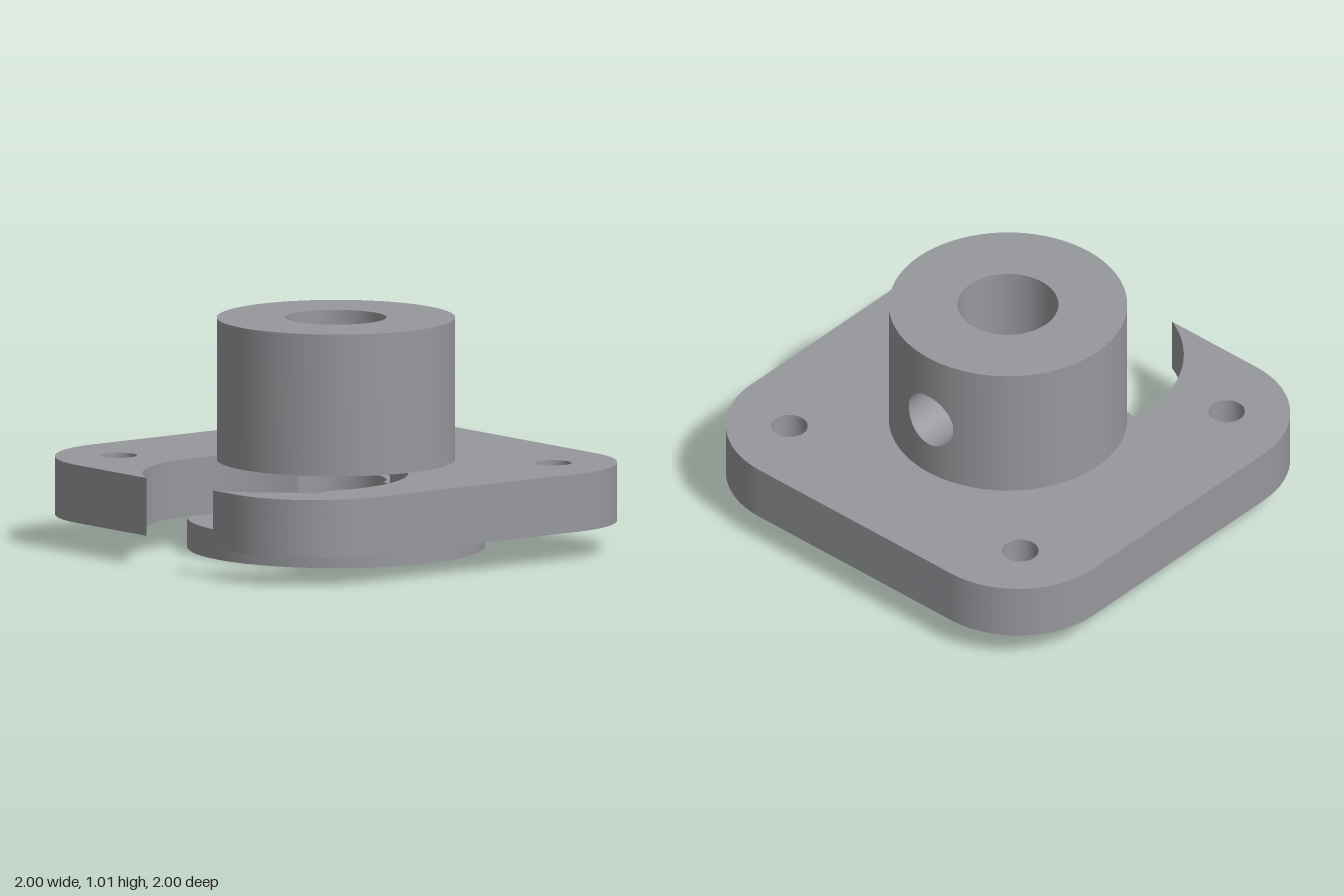
import * as THREE from 'three';
import { toCreasedNormals } from 'three/addons/utils/BufferGeometryUtils.js';
import { ParametricGeometry } from 'three/addons/geometries/ParametricGeometry.js';

const BORE = 0.22, HUB = 0.52, DISC = 0.65;
const Y_DISC = 0.13, Y_LEDGE = 0.295, Y_PLATE = 0.385, Y_TOP = 1.01;
const HOLE = 0.08, HOLE_POS = 0.675;            // corner screw holes
const CUT = { x: 0.17, z: 0.47, r: 0.58 };      // round clearance cut in the plate
const SCREW = { y: 0.67, r: 0.13, w: 0.18 };    // radial hole at the back of the hub

// Distance from the cut centre to the open boundary, merging overlapping holes
function cutRadius(angle, bore) {
  let far = CUT.r;
  for (const [x, z, r] of [[0, 0, bore], [HOLE_POS, HOLE_POS, HOLE]]) {
    const dx = x - CUT.x, dz = z - CUT.z;
    const along = dx * Math.cos(angle) + dz * Math.sin(angle);
    const d = along * along - dx * dx - dz * dz + r * r;
    if (along > 0 && d >= 0) far = Math.max(far, along + Math.sqrt(d));
  }
  return far;
}

// One layer of the rounded plate with its cut, bore and screw holes
function plateLayer(y0, y1, bore) {
  const shape = new THREE.Shape();
  const start = Math.asin((1 - CUT.z) / CUT.r), end = -Math.PI - start, n = 240;
  for (let i = 0; i <= n; i++) {
    const a = start + (end - start) * i / n, r = cutRadius(a, bore);
    const x = CUT.x + r * Math.cos(a), z = CUT.z + r * Math.sin(a);
    if (i === 0) shape.moveTo(x, z); else shape.lineTo(x, z);
  }
  const c = 0.56, q = Math.PI / 2;
  [[-c, c], [-c, -c], [c, -c], [c, c]].forEach(([x, z], i) =>
    shape.absarc(x, z, 1 - c, q * (i + 1), q * (i + 2), false));
  for (const [sx, sz] of [[-1, 1], [-1, -1], [1, -1]]) {
    const hole = new THREE.Path();
    hole.absarc(sx * HOLE_POS, sz * HOLE_POS, HOLE, 0, Math.PI * 2, true);
    shape.holes.push(hole);
  }
  const geo = new THREE.ExtrudeGeometry(shape, { depth: y1 - y0, bevelEnabled: false, curveSegments: 28 });
  geo.rotateX(Math.PI / 2).translate(0, y1, 0);
  return toCreasedNormals(geo, 0.6);
}

function lathe(points, start = 0, length = Math.PI * 2) {
  const profile = points.map(([r, y]) => new THREE.Vector2(r, y));
  return toCreasedNormals(new THREE.LatheGeometry(profile, 96, start, length), 0.6);
}

// Hub wall around everything except the back panel
function hubWall(radius, y0, y1) {
  const a = Math.asin(SCREW.w / radius);
  return lathe([[radius, y0], [radius, y1]], Math.PI + a, Math.PI * 2 - 2 * a);
}

// Curved back panel running from the screw hole out to a rectangle
function backPanel(radius, flip) {
  return new ParametricGeometry((u, v, p) => {
    const t = (flip ? 1 - u : u) * Math.PI * 2;
    const c = Math.cos(t), s = Math.sin(t), m = Math.max(Math.abs(c), Math.abs(s));
    const midY = (Y_PLATE + Y_TOP) / 2, halfY = (Y_TOP - Y_PLATE) / 2;
    const x = THREE.MathUtils.lerp(SCREW.r * c, SCREW.w * c / m, v);
    const y = THREE.MathUtils.lerp(SCREW.y + SCREW.r * s, midY + halfY * s / m, v);
    p.set(x, y, -Math.sqrt(radius * radius - x * x));
  }, 64, 6);
}

// Bore of the radial screw hole
function screwTunnel() {
  return new ParametricGeometry((u, v, p) => {
    const t = u * Math.PI * 2, x = SCREW.r * Math.cos(t);
    const z = THREE.MathUtils.lerp(Math.sqrt(BORE * BORE - x * x), Math.sqrt(HUB * HUB - x * x), v);
    p.set(x, SCREW.y + SCREW.r * Math.sin(t), -z);
  }, 64, 2);
}

export function createModel() {
  const model = new THREE.Group();
  model.name = 'flangedMount';
  const grey = new THREE.MeshStandardMaterial({ color: 0x97989c, side: THREE.DoubleSide });
  grey.name = 'grey';
  const add = (name, geo, parent = model) => {
    const mesh = new THREE.Mesh(geo, grey);
    mesh.name = name;
    parent.add(mesh);
  };

  // Lower disc with the bore through it
  add('lowerDisc', lathe([[BORE, 0], [DISC, 0], [DISC, Y_DISC], [BORE, Y_DISC], [BORE, 0]]));

  // Plate, with a slightly wider pocket above a ledge
  add('plateLower', plateLayer(Y_DISC, Y_LEDGE, BORE));
  add('plateUpper', plateLayer(Y_LEDGE, Y_PLATE, 0.263));

  // Hub
  const hub = new THREE.Group();
  hub.name = 'hub';
  model.add(hub);
  add('hubOuterWall', hubWall(HUB, Y_PLATE, Y_TOP), hub);
  add('hubInnerWall', hubWall(BORE, Y_TOP, Y_PLATE).clone(), hub);
  add('hubOuterBack', backPanel(HUB, false), hub);
  add('hubInnerBack', backPanel(BORE, true), hub);
  add('screwHole', screwTunnel(), hub);
  add('hubTop', lathe([[HUB, Y_TOP], [BORE, Y_TOP]]), hub);
  add('hubUnderside', lathe([[BORE, Y_PLATE], [HUB, Y_PLATE]]), hub);
  return model;
}
